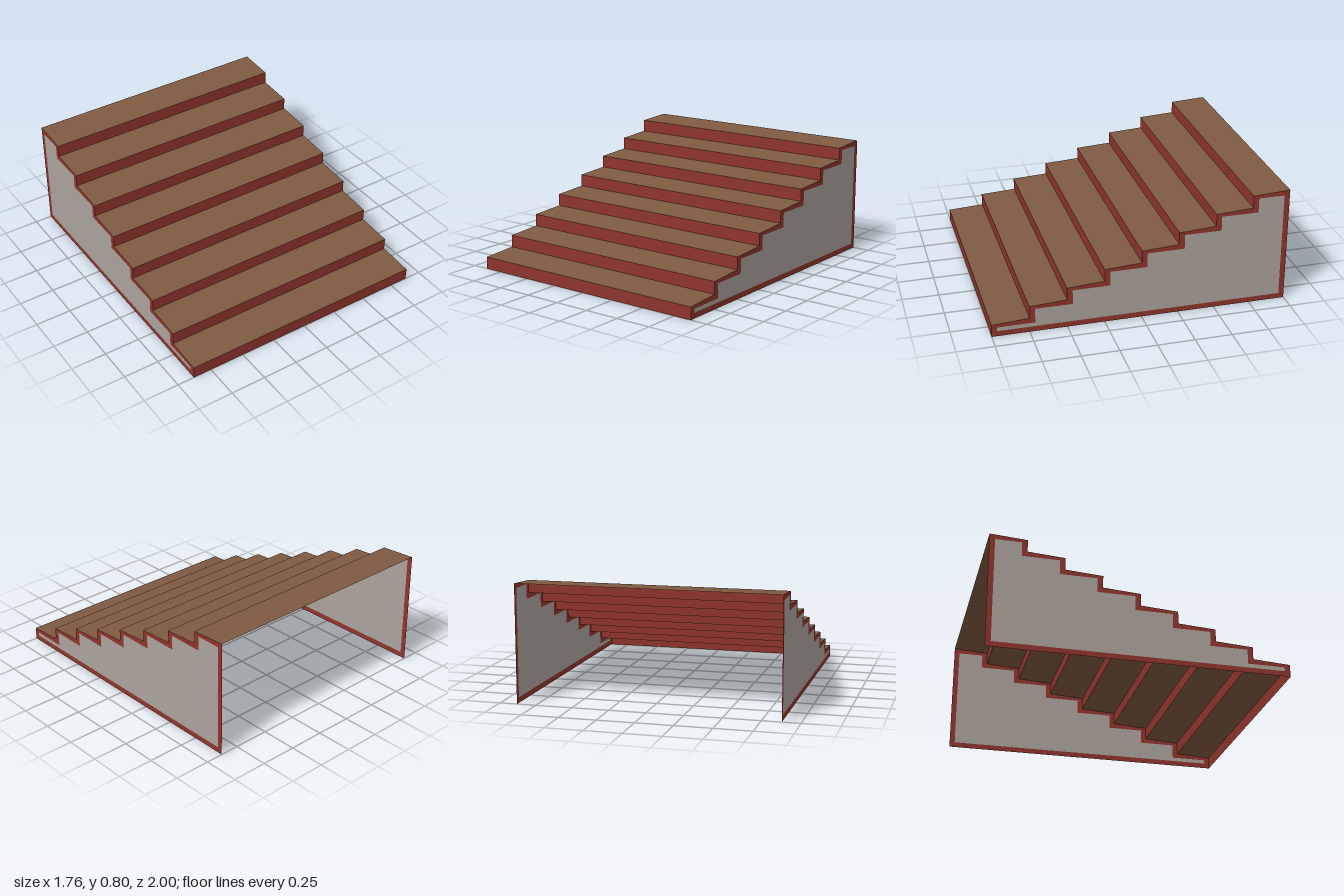
import * as THREE from 'three';

const STEPS = 8, HALF_W = 0.88, RUN = 0.25, RISE = 0.1, LIP = 0.085, BORDER = 0.037;

const mat = (name, color) => {
  const m = new THREE.MeshStandardMaterial({ color, side: THREE.DoubleSide });
  m.name = name;
  return m;
};

// Closed shape from [z, y] points; shape x runs along -z.
const sideShape = (pts) => new THREE.Shape(pts.map(([z, y]) => new THREE.Vector2(-z, y)));

export function createModel() {
  const red = mat('redPaint', 0x8f342d);
  const wood = mat('brownTread', 0x7f5a41);
  const grey = mat('greyPanel', 0xaca29b);

  const group = new THREE.Group();
  group.name = 'staircase';
  const add = (name, geo, material, x, y, z) => {
    const mesh = new THREE.Mesh(geo, material);
    mesh.name = name;
    mesh.position.set(x, y, z);
    group.add(mesh);
  };

  // Stepped outlines of the side wall and of the panel set inside its border
  const outer = [[1, 0]];
  const inner = [[1 - BORDER, BORDER]];

  // Risers and gently sloping treads
  const slope = RISE - LIP;
  const treadGeo = new THREE.PlaneGeometry(2 * HALF_W, Math.hypot(RUN, slope));
  treadGeo.rotateX(-Math.PI / 2 + Math.atan2(slope, RUN));
  for (let i = 0; i < STEPS; i++) {
    const z = 1 - i * RUN, y = i * RISE;
    add('riser', new THREE.PlaneGeometry(2 * HALF_W, LIP), red, 0, y + LIP / 2, z);
    add('tread', treadGeo, wood, 0, y + (LIP + RISE) / 2, z - RUN / 2);

    const last = i === STEPS - 1;
    outer.push([z, y + LIP], [z - RUN, y + RISE]);
    const innerY = y + 0.064;
    inner.push([z - BORDER, innerY], [z - RUN + (last ? BORDER : -BORDER), innerY]);
  }
  outer.push([-1, 0]);
  inner.push([-1 + BORDER, BORDER]);

  // Side walls: red border around a grey panel
  const frameShape = sideShape(outer);
  frameShape.holes.push(sideShape(inner));
  const frameGeo = new THREE.ShapeGeometry(frameShape).rotateY(Math.PI / 2);
  const panelGeo = new THREE.ShapeGeometry(sideShape(inner)).rotateY(Math.PI / 2);
  for (const [side, s] of [['left', 1], ['right', -1]]) {
    add(side + 'WallBorder', frameGeo, red, s * HALF_W, 0, 0);
    add(side + 'WallPanel', panelGeo, grey, s * HALF_W, 0, 0);
  }
  return group;
}
